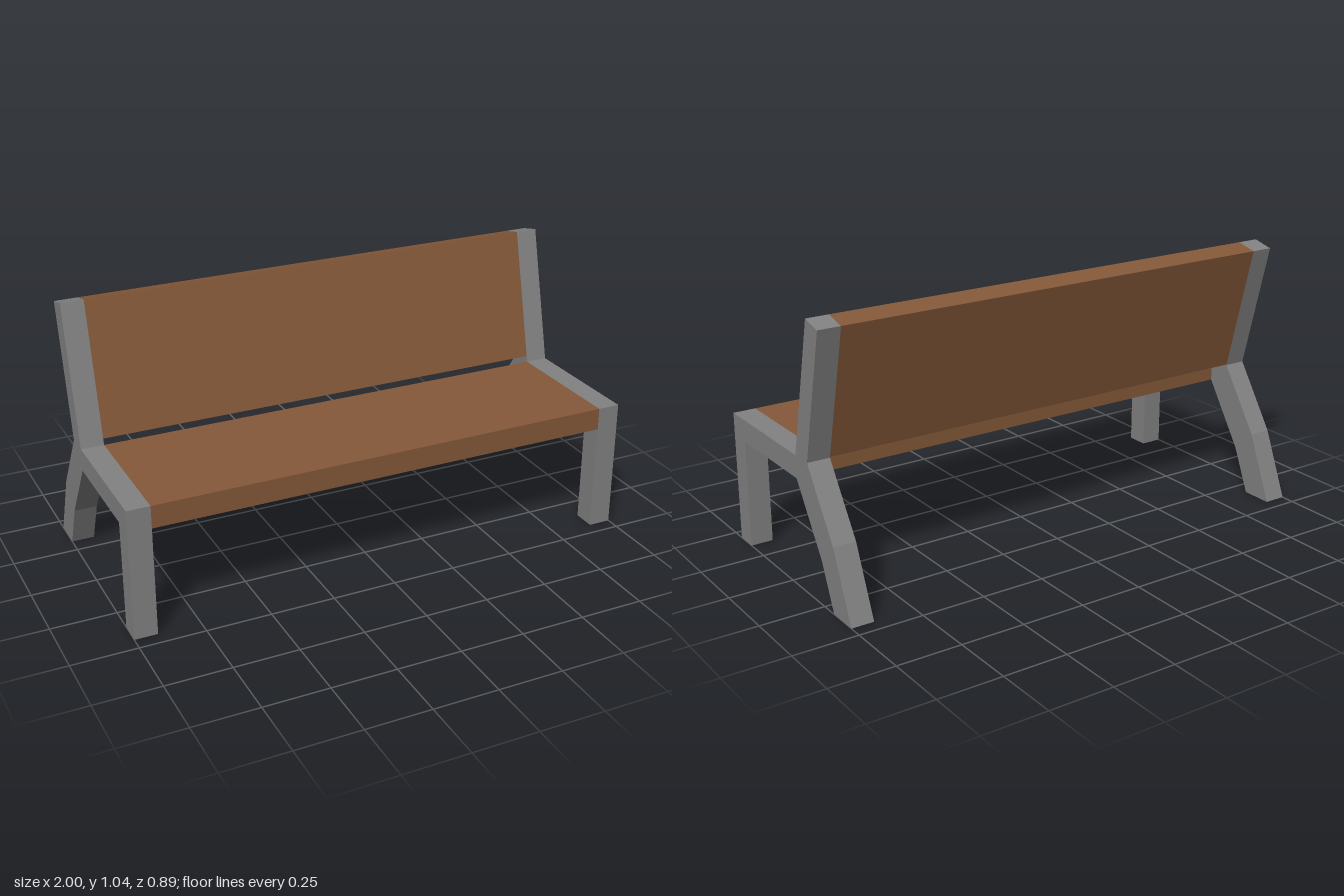
import * as THREE from 'three';

// Extrudes a side profile of [z, y] points along x, centred on the given x.
function profilePart(name, points, width, x, material) {
  const shape = new THREE.Shape(points.map(([z, y]) => new THREE.Vector2(z, y)));
  const geometry = new THREE.ExtrudeGeometry(shape, { depth: width, bevelEnabled: false });
  geometry.translate(0, 0, -width / 2);
  geometry.rotateY(-Math.PI / 2);
  const mesh = new THREE.Mesh(geometry, material);
  mesh.name = name;
  mesh.position.x = x;
  return mesh;
}

export function createModel() {
  const bench = new THREE.Group();
  bench.name = 'bench';

  const concrete = new THREE.MeshStandardMaterial({ color: 0x828282 });
  concrete.name = 'grey frame';
  const wood = new THREE.MeshStandardMaterial({ color: 0x855939 });
  wood.name = 'brown wood';

  const halfLength = 1;
  const frameWidth = 0.088;
  const innerLength = 2 * (halfLength - frameWidth);

  // End frames: front leg, seat rail, back post and bent rear leg in one outline
  const frame = [
    [0.445, 0], [0.445, 0.512], [-0.076, 0.512], [-0.206, 1.037], [-0.29, 1.017],
    [-0.165, 0.512], [-0.335, 0.26], [-0.445, 0], [-0.32, 0], [-0.243, 0.175],
    [-0.076, 0.425], [0.356, 0.425], [0.356, 0],
  ];
  for (const [name, side] of [['leftFrame', 1], ['rightFrame', -1]]) {
    bench.add(profilePart(name, frame, frameWidth, side * (halfLength - frameWidth / 2), concrete));
  }

  // Seat board
  const seat = [[0.445, 0.425], [0.445, 0.512], [-0.076, 0.512], [-0.076, 0.425]];
  bench.add(profilePart('seat', seat, innerLength, 0, wood));

  // Leaning backrest board, cut square at its lower edge
  const backrest = [[-0.082, 0.535], [-0.206, 1.037], [-0.29, 1.017], [-0.166, 0.515]];
  bench.add(profilePart('backrest', backrest, innerLength, 0, wood));

  return bench;
}
